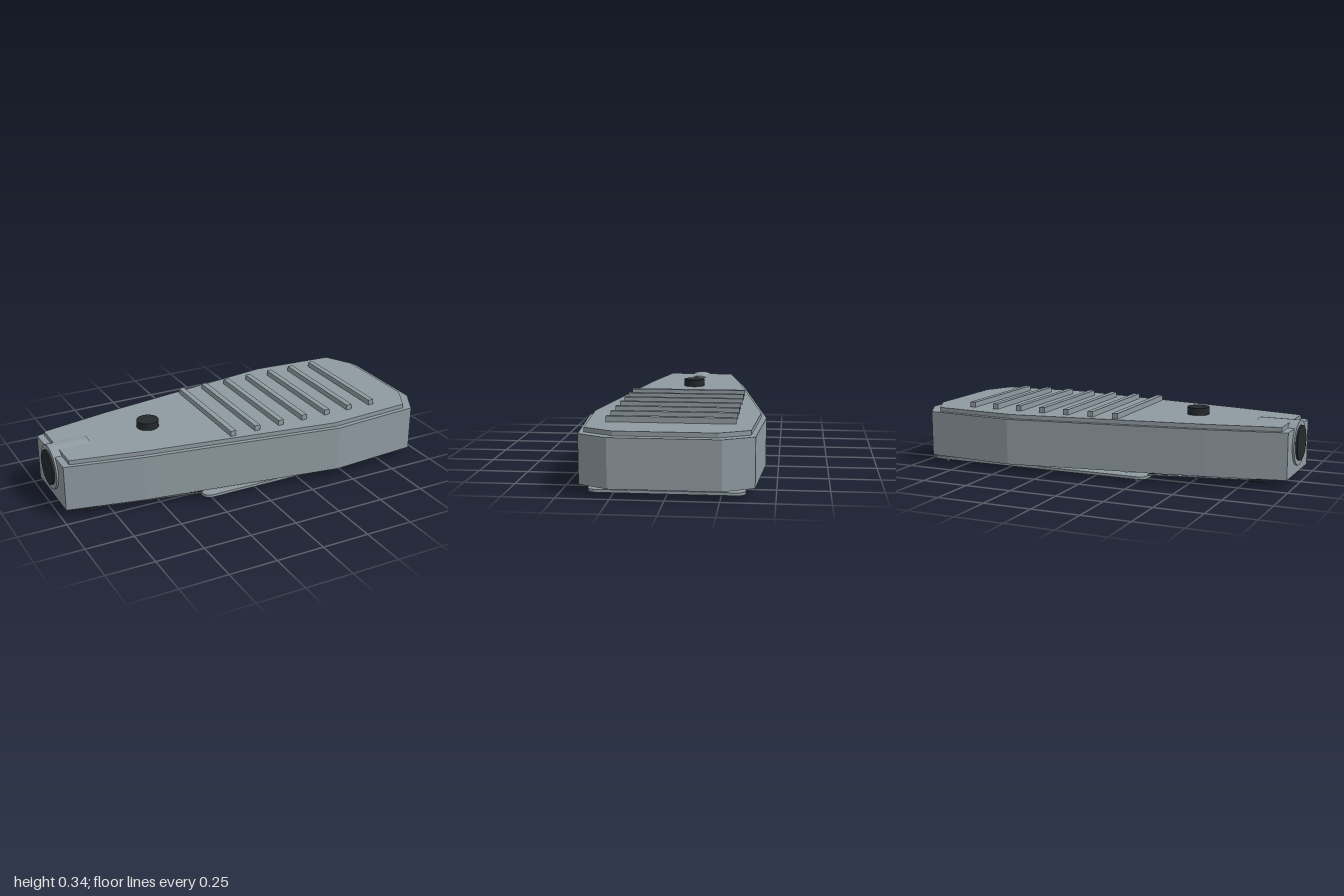
import * as THREE from 'three';

const mat = (color) => new THREE.MeshStandardMaterial({ color });

// Symmetric outline from (x, half width) stations
function outline(stations) {
  const right = stations.map(([x, w]) => new THREE.Vector2(x, w));
  const left = stations.map(([x, w]) => new THREE.Vector2(x, -w)).reverse();
  return new THREE.Shape([...left.reverse(), ...right.reverse()]);
}

function roundedRect(x0, x1, w, r, Type = THREE.Shape) {
  const s = new Type();
  s.moveTo(x0 + r, -w);
  s.lineTo(x1 - r, -w);
  s.quadraticCurveTo(x1, -w, x1, -w + r);
  s.lineTo(x1, w - r);
  s.quadraticCurveTo(x1, w, x1 - r, w);
  s.lineTo(x0 + r, w);
  s.quadraticCurveTo(x0, w, x0, w - r);
  s.lineTo(x0, -w + r);
  s.quadraticCurveTo(x0, -w, x0 + r, -w);
  return s;
}

// Horizontal slab of a plan shape between two heights
function slab(shape, y0, y1) {
  const g = new THREE.ExtrudeGeometry(shape, { depth: y1 - y0, bevelEnabled: false, curveSegments: 6 });
  return g.rotateX(Math.PI / 2).translate(0, y1, 0);
}

export function createModel() {
  const group = new THREE.Group();
  const grey = mat(0x8f9aa1);
  const dark = mat(0x24292c);
  const panel = mat(0x7b848a);
  const glass = mat(0xa9b2b6);

  const add = (name, geometry, material, x = 0, y = 0, z = 0) => {
    const m = new THREE.Mesh(geometry, material);
    m.name = name;
    m.position.set(x, y, z);
    group.add(m);
    return m;
  };

  // Housing and inset lid
  add('housing', slab(outline([[-0.98, 0.197], [-0.59, 0.28], [0.44, 0.44], [0.92, 0.405], [1, 0.26]]), 0.048, 0.285), grey);
  add('lid', slab(outline([[-0.945, 0.183], [-0.58, 0.257], [0.43, 0.414], [0.88, 0.384], [0.957, 0.24]]), 0.285, 0.307), grey);

  // Cooling fins
  for (let i = 0; i < 7; i++) {
    add('coolingFin', new THREE.BoxGeometry(0.03, 0.03, 0.615), grey, -0.112 + i * 0.139, 0.32, 0);
  }

  // Sensor cap
  add('sensorCap', new THREE.CylinderGeometry(0.057, 0.057, 0.04, 32), dark, -0.45, 0.325, 0);

  // Pole socket and its dark bore
  add('poleSocket', new THREE.CylinderGeometry(0.115, 0.115, 0.21, 40).rotateZ(Math.PI / 2), grey, -0.885, 0.2, 0);
  add('socketBore', new THREE.CylinderGeometry(0.09, 0.09, 0.06, 40).rotateZ(Math.PI / 2), dark, -0.97, 0.2, 0);

  // Lamp frame with recessed glass
  const frame = roundedRect(-0.3, 0.95, 0.364, 0.05);
  frame.holes.push(roundedRect(-0.22, 0.87, 0.29, 0.02, THREE.Path));
  add('lampFrame', slab(frame, 0.019, 0.033), grey);
  add('lampGlass', slab(roundedRect(-0.23, 0.88, 0.3, 0.02), 0.024, 0.031), glass);
  add('lampGasket', new THREE.BoxGeometry(1.1, 0.006, 0.44), grey, 0.33, 0.035, 0);

  // Frame screws
  for (const x of [-0.24, 0.88]) {
    for (const z of [-0.324, 0.324]) {
      add('frameScrew', new THREE.CylinderGeometry(0.01, 0.01, 0.007, 16), grey, x, 0.0035, z);
    }
  }

  // Tapered service door under the narrow end
  const door = [[-0.87, 0.205], [-0.59, 0.265], [-0.3, 0.33]];
  add('doorSeal', slab(outline(door), 0.046, 0.049), dark);
  add('serviceDoor', slab(outline(door), 0.036, 0.04), panel);
  add('doorStrip', new THREE.BoxGeometry(0.035, 0.005, 0.36), glass, -0.82, 0.035, 0);

  // Door latches and hinge pads
  for (const s of [-1, 1]) {
    add('doorLatch', slab(roundedRect(-0.885, -0.8, 0.02, 0.018), 0.036, 0.049), dark, 0, 0, s * 0.213);
    add('hingePad', new THREE.BoxGeometry(0.11, 0.01, 0.022), grey, -0.545, 0.043, s * 0.247);
  }

  return group;
}
